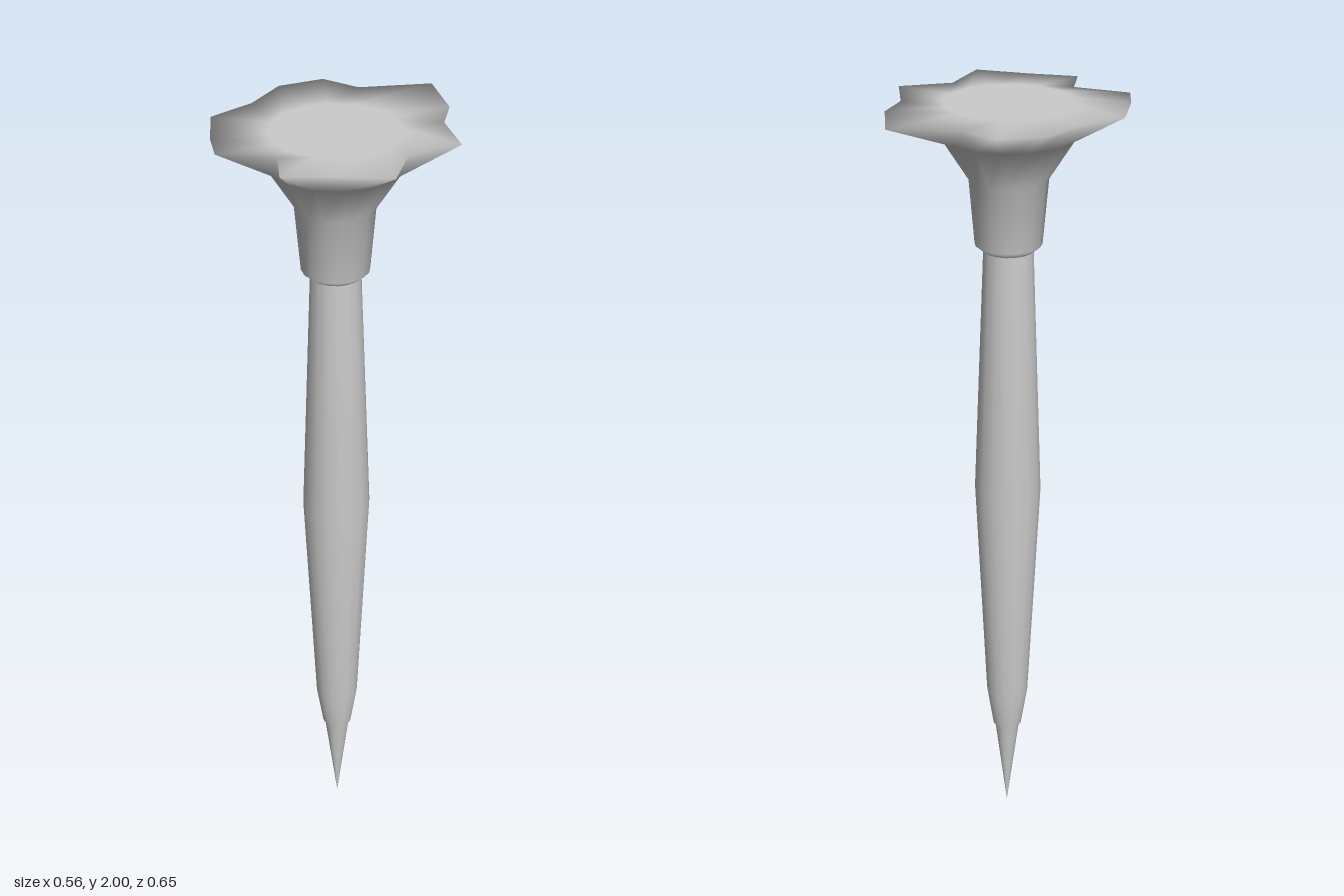
import * as THREE from 'three';

const SIDES = 16;
const AXIS_Z = 0.042; // the shaft sits slightly forward of the lopsided head

const material = new THREE.MeshStandardMaterial({ color: 0xcccccc });

// Ragged outline of the flattened head, [x, z], clockwise from the back
const RIM = [
  [0, -0.33], [0.123, -0.24], [0.17, -0.157], [0.28, -0.08],
  [0.22, 0.042], [0.28, 0.167], [0.17, 0.243], [0.07, 0.324],
  [0, 0.25], [-0.125, 0.324], [-0.193, 0.266], [-0.28, 0.167],
  [-0.26, 0.042], [-0.28, -0.08], [-0.225, -0.183], [-0.123, -0.197],
];

// Round cross-section in the same order as the rim
function circle(radius, y) {
  return Array.from({ length: SIDES }, (_, k) => {
    const a = (k / SIDES) * Math.PI * 2;
    return [Math.sin(a) * radius, y, AXIS_Z - Math.cos(a) * radius];
  });
}

// Smooth skin through rings listed along the surface
function loft(rings) {
  const index = [];
  for (let i = 0; i < rings.length - 1; i++) {
    for (let k = 0; k < SIDES; k++) {
      const a = i * SIDES + k;
      const b = i * SIDES + ((k + 1) % SIDES);
      index.push(a, a + SIDES, b, b, a + SIDES, b + SIDES);
    }
  }
  const geometry = new THREE.BufferGeometry();
  geometry.setAttribute('position', new THREE.Float32BufferAttribute(rings.flat(2), 3));
  geometry.setIndex(index);
  geometry.computeVertexNormals();
  return geometry;
}

// Turned part around the shaft axis, profile as [radius, y] from the bottom up
function turned(profile) {
  const geometry = new THREE.LatheGeometry(profile.map(([r, y]) => new THREE.Vector2(r, y)), SIDES);
  return geometry.translate(0, 0, AXIS_Z);
}

export function createModel() {
  const model = new THREE.Group();
  const add = (name, geometry) => {
    const mesh = new THREE.Mesh(geometry, material);
    mesh.name = name;
    model.add(mesh);
  };

  // Pointed tip
  add('tip', turned([[0, 0], [0.033, 0.255]]));

  // Small ledge where the tip enters the shaft
  add('shaftEnd', turned([[0, 0.255], [0.038, 0.255]]));

  // Shaft, swelling at the middle
  add('shaft', turned([[0.038, 0.255], [0.055, 0.36], [0.086, 0.97], [0.063, 1.63]]));

  // Collar flaring into the ragged head, closed by a flat top
  add('head', loft([
    circle(0.06, 1.62),
    circle(0.085, 1.64),
    circle(0.1, 1.81),
    circle(0.17, 1.92),
    RIM.map(([x, z]) => [x, 2, z]),
    circle(0.16, 2),
    circle(0, 2),
  ]));

  return model;
}
